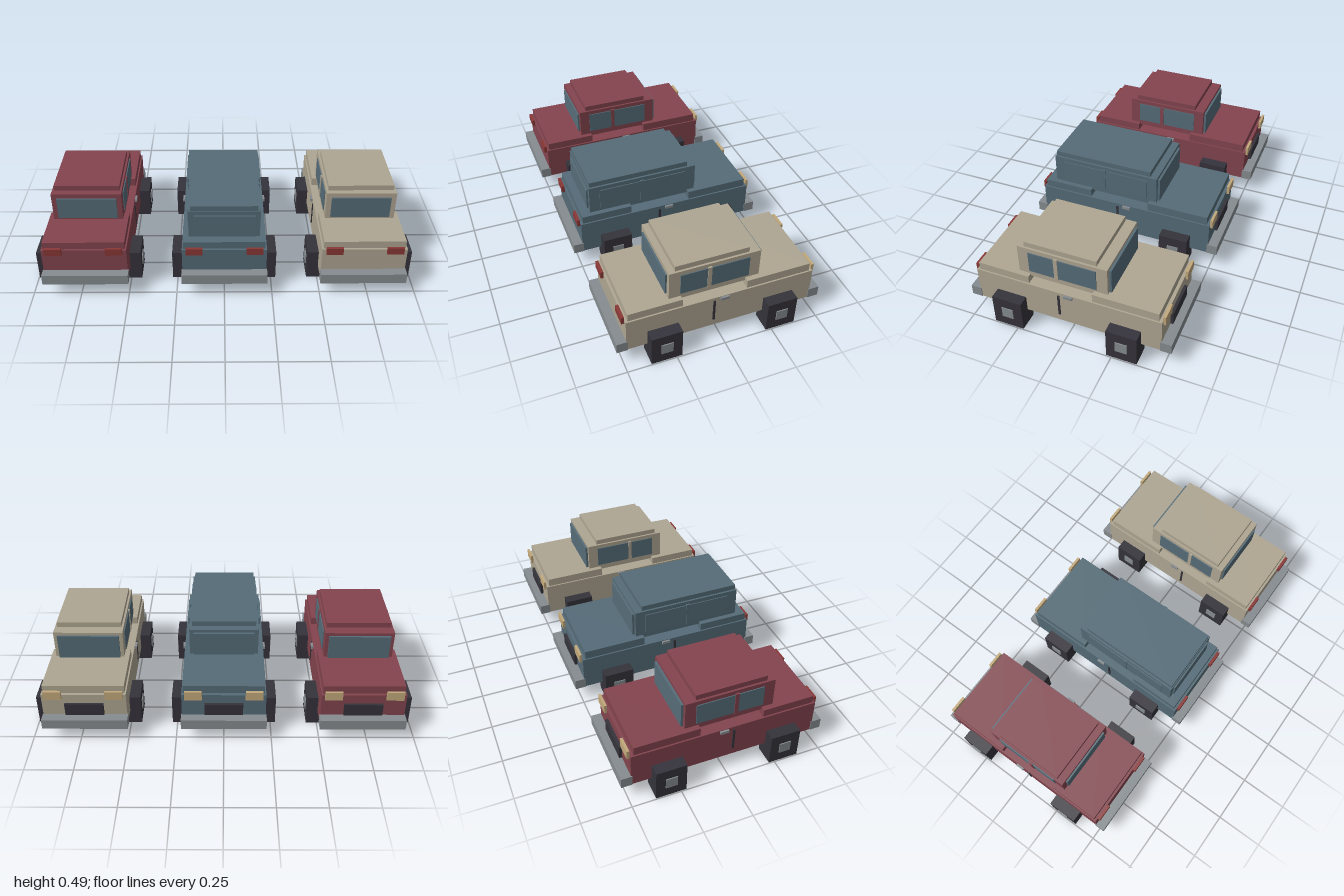
import * as THREE from 'three';

const mat = (name, color) => {
  const m = new THREE.MeshStandardMaterial({ color });
  m.name = name;
  return m;
};

export function createModel() {
  const model = new THREE.Group();
  model.name = 'cars';

  const glass = mat('glass', 0x566d79);
  const rubber = mat('rubber', 0x35333b);
  const metal = mat('metal', 0x868c90);
  const tailRed = mat('tail light red', 0x8a3836);
  const lampCream = mat('headlight cream', 0xc2a97c);

  // Box given by its two extents on each axis
  function box(parent, name, material, [x0, x1], [y0, y1], [z0, z1]) {
    const mesh = new THREE.Mesh(new THREE.BoxGeometry(x1 - x0, y1 - y0, z1 - z0), material);
    mesh.position.set((x0 + x1) / 2, (y0 + y1) / 2, (z0 + z1) / 2);
    mesh.name = name;
    parent.add(mesh);
  }
  // Box centred across the car
  const wide = (p, name, m, half, y, z) => box(p, name, m, [-half, half], y, z);
  // Same box on both sides of the car
  function pair(p, name, m, [x0, x1], y, z) {
    box(p, name + 'Left', m, [x0, x1], y, z);
    box(p, name + 'Right', m, [-x1, -x0], y, z);
  }

  function car(name, paint, x, { cabin, roof, pillar }) {
    const g = new THREE.Group();
    g.name = name;
    g.position.x = x;
    model.add(g);
    const [front, back] = cabin;

    // Body, hood and rear deck
    wide(g, 'body', paint, 0.218, [0.082, 0.264], [-0.48, 0.482]);
    wide(g, 'hood', paint, 0.21, [0.264, 0.309], [-0.463, -0.13]);
    wide(g, 'rearDeck', paint, 0.21, [0.264, 0.305], [0.2, 0.47]);

    // Cabin and roof
    wide(g, 'cabin', paint, 0.183, [0.29, 0.46], cabin);
    wide(g, 'roof', paint, 0.172, [0.46, 0.488], roof);

    // Windows and pillars
    wide(g, 'windshield', glass, 0.163, [0.307, 0.443], [front - 0.012, front]);
    wide(g, 'rearWindow', glass, 0.156, [0.318, 0.435], [back, back + 0.009]);
    pair(g, 'frontSideWindow', glass, [0.183, 0.188], [0.323, 0.437], [front + 0.056, pillar - 0.01]);
    pair(g, 'rearSideWindow', glass, [0.183, 0.188], [0.323, 0.437], [pillar + 0.01, back - 0.056]);
    pair(g, 'pillar', paint, [0.183, 0.192], [0.318, 0.444], [pillar - 0.01, pillar + 0.01]);

    // Door details
    pair(g, 'doorSeam', rubber, [0.218, 0.223], [0.122, 0.247], [0.036, 0.047]);
    pair(g, 'doorHandle', metal, [0.218, 0.229], [0.246, 0.261], [-0.033, 0.011]);

    // Bumpers, grille and lights
    wide(g, 'frontBumper', metal, 0.222, [0.082, 0.138], [-0.531, -0.474]);
    wide(g, 'rearBumper', metal, 0.222, [0.082, 0.138], [0.476, 0.531]);
    wide(g, 'grille', rubber, 0.1, [0.145, 0.213], [-0.495, -0.48]);
    pair(g, 'headlight', lampCream, [0.112, 0.202], [0.241, 0.29], [-0.493, -0.479]);
    pair(g, 'tailLight', tailRed, [0.112, 0.198], [0.242, 0.281], [0.482, 0.497]);

    // Wheels with square hubs
    for (const [end, z] of [['front', -0.3], ['rear', 0.3]]) {
      pair(g, end + 'Wheel', rubber, [0.172, 0.276], [0, 0.167], [z - 0.078, z + 0.078]);
      pair(g, end + 'Hub', metal, [0.276, 0.281], [0.055, 0.113], [z - 0.03, z + 0.03]);
    }
  }

  const short = { cabin: [-0.2, 0.26], roof: [-0.144, 0.228], pillar: 0.06 };
  const shortRed = { cabin: [-0.2, 0.26], roof: [-0.144, 0.222], pillar: 0.06 };
  const long = { cabin: [-0.17, 0.42], roof: [-0.13, 0.415], pillar: 0.13 };
  car('redCar', mat('red paint', 0x83444e), -0.719, shortRed);
  car('blueCar', mat('blue paint', 0x556c78), 0, long);
  car('beigeCar', mat('beige paint', 0xafa692), 0.719, short);

  return model;
}
